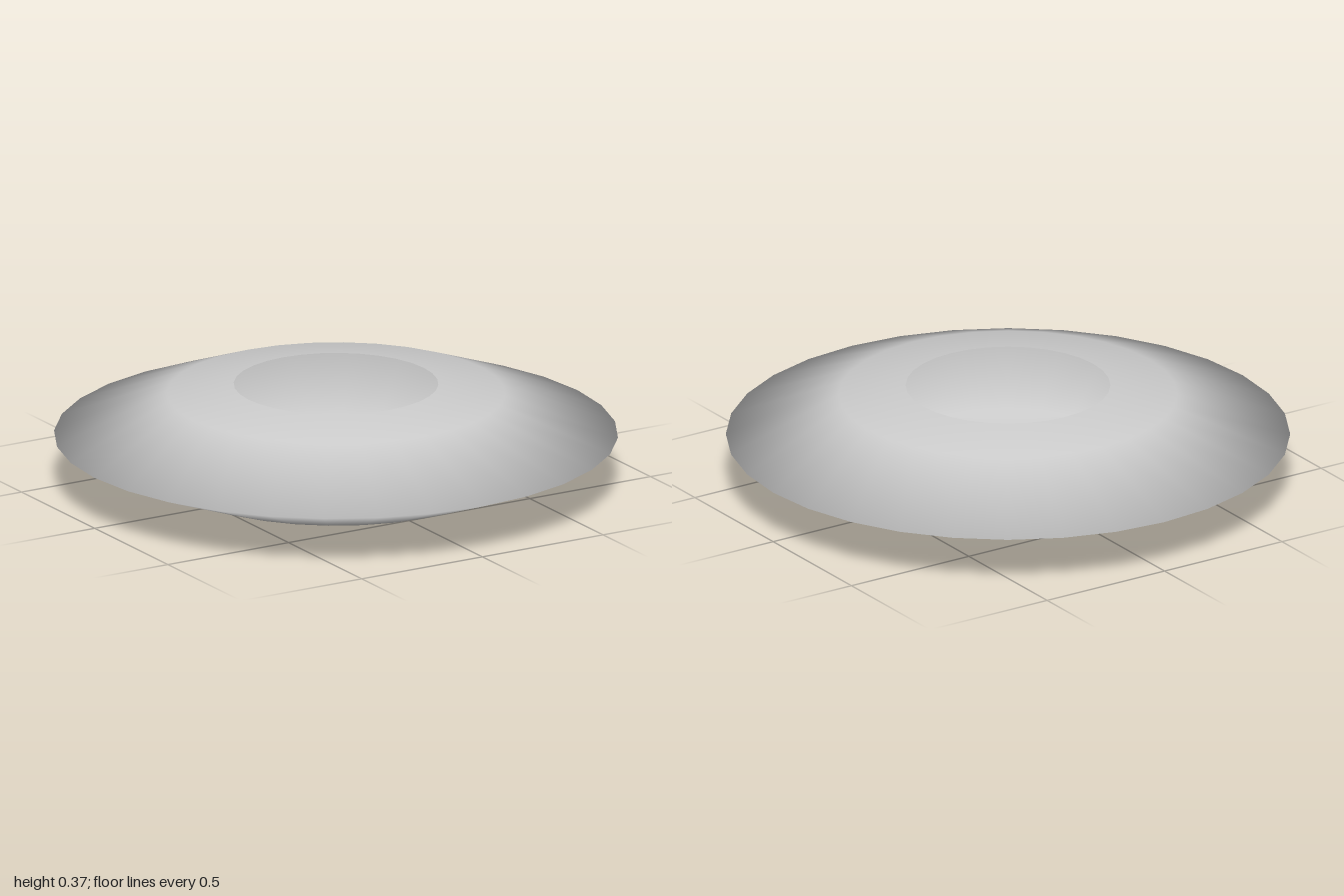
import * as THREE from 'three';

export function createModel() {
  const group = new THREE.Group();
  group.name = 'hollowRing';

  // Half cross-section of the open shell, from lower hole to upper hole
  const mid = 0.187;
  const lower = [[0.363, 0], [0.6, 0.035]];
  const upper = lower.map(([r, y]) => [r, 2 * mid - y]).reverse();
  const profile = [...lower, [1, mid], ...upper].map(([r, y]) => new THREE.Vector2(r, y));

  // Thin shell, smooth around the sharp outer rim, open at the central holes
  const material = new THREE.MeshStandardMaterial({ color: 0xcccccc, side: THREE.DoubleSide });
  const shell = new THREE.Mesh(new THREE.LatheGeometry(profile, 32), material);
  shell.name = 'shell';
  group.add(shell);

  return group;
}
